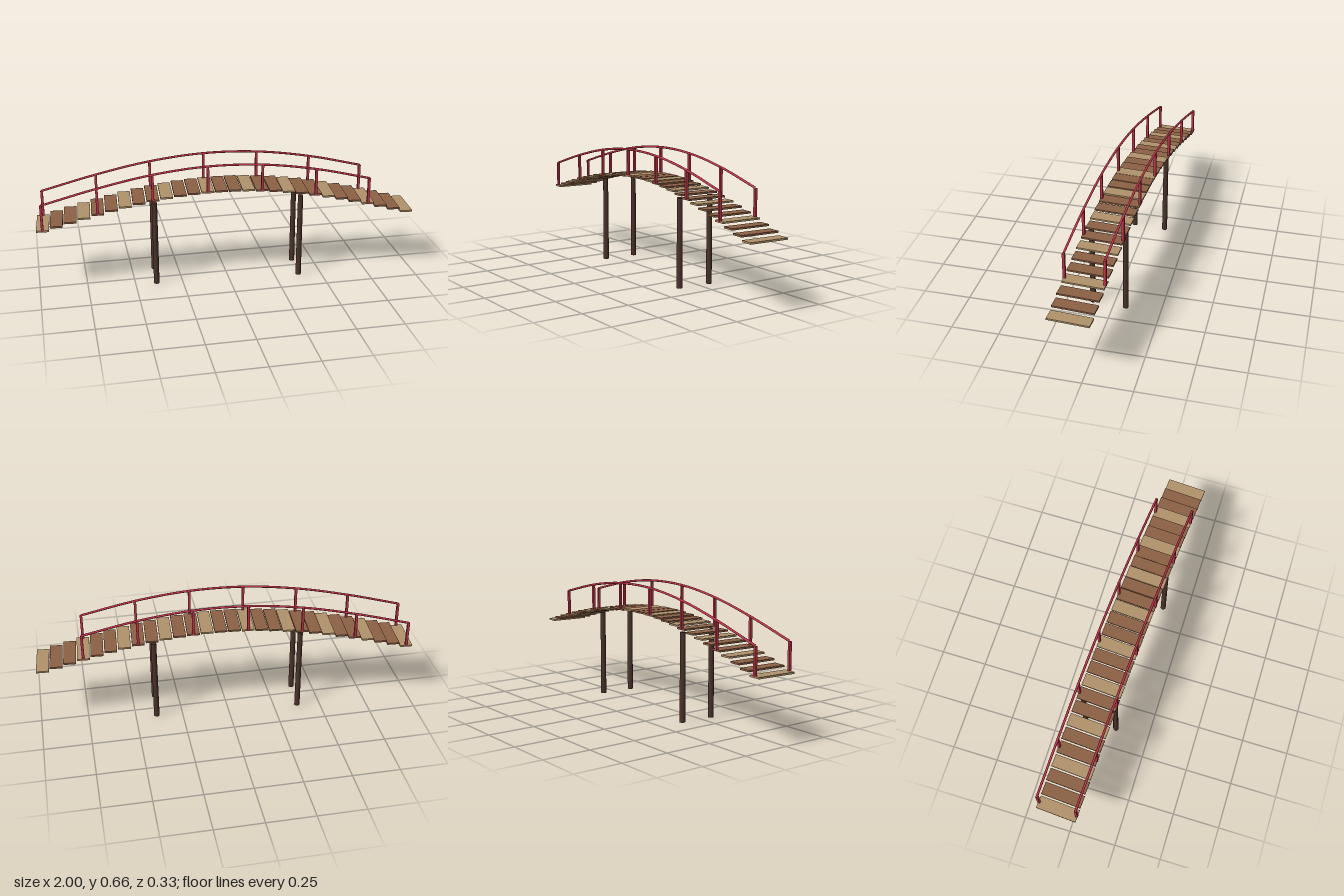
import * as THREE from 'three';

export function createModel() {
  const material = (name, color) => {
    const m = new THREE.MeshStandardMaterial({ color });
    m.name = name;
    return m;
  };
  const lightWood = material('lightWood', 0xb0926a);
  const brownWood = material('brownWood', 0x8b6045);
  const darkWood = material('darkWood', 0x4a332b);
  const redPaint = material('redPaint', 0xc0354a);

  const bridge = new THREE.Group();
  bridge.name = 'archedFootbridge';
  const add = (name, geometry, mat, x, y, z) => {
    const mesh = new THREE.Mesh(geometry, mat);
    mesh.name = name;
    mesh.position.set(x, y, z);
    bridge.add(mesh);
  };

  const count = 28;
  const halfSpan = 0.961;
  const railHeight = 0.142;
  const plankX = (i) => -halfSpan + (2 * halfSpan * i) / (count - 1);
  const plankY = (i) => 0.341 + 0.17 * Math.sin((Math.PI * i) / (count - 1));

  // Deck: level planks stepping along the arch, every third one light
  const plankGeometry = new THREE.BoxGeometry(0.065, 0.009, 0.211);
  for (let i = 0; i < count; i++) {
    add('plank', plankGeometry, i % 3 === 0 ? lightWood : brownWood, plankX(i), plankY(i), 0);
  }

  // Posts on every fourth plank, joined by a curved handrail on each side
  const postGeometry = new THREE.BoxGeometry(0.013, railHeight, 0.013);
  for (const side of [-1, 1]) {
    const z = side * 0.1015;
    const points = [];
    for (let i = 0; i < count; i += 4) {
      add('railPost', postGeometry, redPaint, plankX(i), plankY(i) + railHeight / 2, z);
      points.push(new THREE.Vector3(plankX(i), plankY(i) + railHeight, 0));
    }
    const curve = new THREE.CatmullRomCurve3(points);
    add('handrail', new THREE.TubeGeometry(curve, 36, 0.006, 8), redPaint, 0, 0, z);
  }

  // Four round support pillars
  const pillarGeometry = new THREE.CylinderGeometry(0.0138, 0.0148, 0.46, 12);
  for (const x of [-0.384, 0.384]) {
    for (const z of [-0.089, 0.089]) add('pillar', pillarGeometry, darkWood, x, 0.23, z);
  }

  // The whole bridge stands slightly turned
  bridge.rotation.y = -0.06;
  const model = new THREE.Group();
  model.name = 'footbridge';
  model.add(bridge);
  return model;
}
